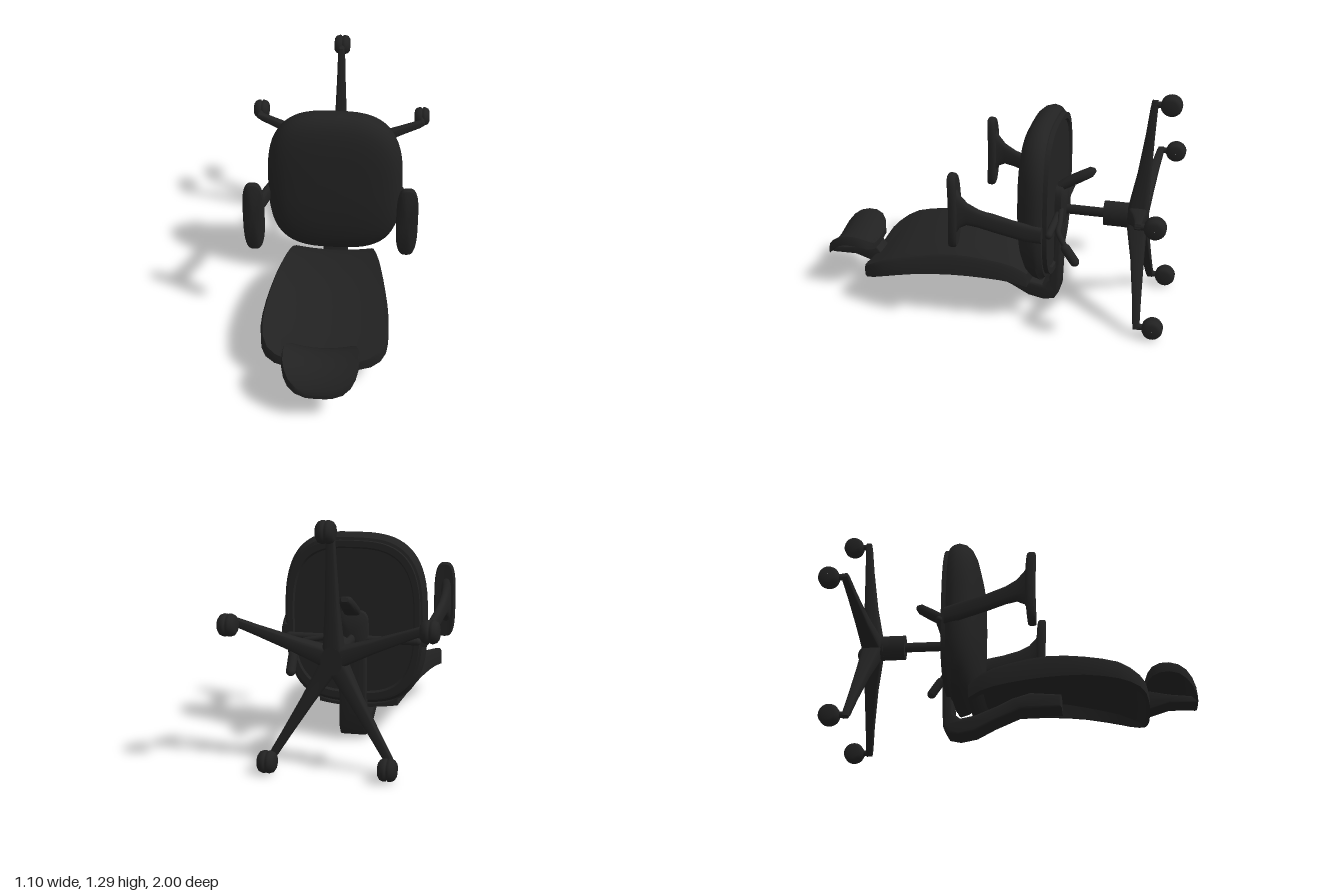
import * as THREE from 'three';
import { toCreasedNormals } from 'three/addons/utils/BufferGeometryUtils.js';

const V = (x, y, z) => new THREE.Vector3(x, y, z);
const black = new THREE.MeshStandardMaterial({ color: 0x222222 });
black.name = 'black';

// Closed skin over a list of equal-length rings, always facing outward
function loft(rings, crease = 0.7) {
  const n = rings[0].length, pos = [], idx = [];
  rings.forEach(r => r.forEach(p => pos.push(p.x, p.y, p.z)));
  for (let i = 0; i < rings.length - 1; i++) {
    for (let j = 0; j < n; j++) {
      const a = i * n + j, b = i * n + (j + 1) % n;
      idx.push(a, b, a + n, b, b + n, a + n);
    }
  }
  [0, rings.length - 1].forEach((k, end) => {
    const c = pos.length / 3, mid = V(0, 0, 0);
    rings[k].forEach(p => mid.addScaledVector(p, 1 / n));
    pos.push(mid.x, mid.y, mid.z);
    for (let j = 0; j < n; j++) {
      const a = k * n + j, b = k * n + (j + 1) % n;
      if (end) idx.push(a, b, c); else idx.push(b, a, c);
    }
  });
  const at = i => V(pos[3 * i], pos[3 * i + 1], pos[3 * i + 2]);
  let volume = 0;
  for (let i = 0; i < idx.length; i += 3) volume += at(idx[i]).dot(at(idx[i + 1]).cross(at(idx[i + 2])));
  if (volume < 0) idx.reverse();
  const g = new THREE.BufferGeometry();
  g.setAttribute('position', new THREE.Float32BufferAttribute(pos, 3));
  g.setIndex(idx);
  return toCreasedNormals(g, crease);
}

// Superellipse ring spanned by two half-axes
function ring(center, u, v, power = 2, n = 20) {
  const out = [];
  for (let i = 0; i < n; i++) {
    const a = (i / n) * Math.PI * 2, c = Math.cos(a), s = Math.sin(a);
    out.push(center.clone()
      .addScaledVector(u, Math.sign(c) * Math.abs(c) ** (2 / power))
      .addScaledVector(v, Math.sign(s) * Math.abs(s) ** (2 / power)));
  }
  return out;
}

// Side profile given as [z, y], extruded across x
function extrudeX(points, width, bevel) {
  const g = new THREE.ExtrudeGeometry(new THREE.Shape(points.map(p => new THREE.Vector2(...p))), {
    depth: width - 2 * bevel, bevelThickness: bevel, bevelSize: bevel, bevelOffset: -bevel, bevelSegments: 3,
  });
  g.translate(0, 0, bevel - width / 2).rotateY(-Math.PI / 2);
  return toCreasedNormals(g, 0.7);
}

// Curved panel from stations [z, halfWidth, top, bottom]; sides lift up, underside may be hollow
function panel(stations, lift, hollow) {
  const us = [-1, -0.97, -0.9, -0.84, -0.8, -0.6, -0.3, 0, 0.3, 0.6, 0.8, 0.84, 0.9, 0.97, 1];
  return loft(stations.map(([z, w, top, bot], i) => {
    const open = hollow && i > 1 && i < stations.length - 3;
    const rise = u => lift * (u * w) ** 2;
    const upper = us.map(u => V(u * w, top + rise(u) - (Math.abs(u) === 1 ? 0.02 : 0), z));
    const lower = us.map(u => V(u * w, (open && Math.abs(u) < 0.83 ? top - 0.045 : bot) + rise(u), z));
    return upper.concat(lower.reverse());
  }));
}

export function createModel() {
  const model = new THREE.Group();
  const add = (name, geometry) => {
    const m = new THREE.Mesh(geometry, black);
    m.name = name;
    model.add(m);
    return m;
  };

  // Seat cushion with its under-plate: [scale, z]
  const seat = [[0.25, -0.167], [0.5, -0.17], [0.7, -0.177], [0.83, -0.19], [0.92, -0.21], [0.975, -0.24],
    [1, -0.28], [0.985, -0.31], [0.95, -0.33], [0.92, -0.332], [0.92, -0.357], [0.85, -0.357], [0.83, -0.345]];
  const seatRings = seat.map(([s, z]) => ring(V(0, 0.67, z), V(0.392 * s, 0, 0), V(0, 0.47 * s, 0), 3, 64));
  seatRings.slice(0, 7).forEach(r => r.forEach(p => {
    const t = (0.67 - p.y) / 0.47;
    if (t > 0) p.z -= 0.035 * t * t;
  }));
  add('seat', loft(seatRings));

  // Backrest, hollow behind
  add('backrest', panel([
    [-0.22, 0.22, 0.23, 0.15], [-0.19, 0.23, 0.252, 0.162], [-0.15, 0.245, 0.275, 0.175], [-0.08, 0.26, 0.297, 0.188],
    [0, 0.275, 0.31, 0.195], [0.1, 0.29, 0.322, 0.2], [0.2, 0.305, 0.325, 0.2], [0.3, 0.32, 0.315, 0.195],
    [0.4, 0.335, 0.295, 0.185], [0.5, 0.345, 0.272, 0.167], [0.58, 0.347, 0.25, 0.15], [0.64, 0.338, 0.222, 0.135],
    [0.69, 0.31, 0.195, 0.125], [0.72, 0.26, 0.182, 0.12], [0.735, 0.18, 0.172, 0.12], [0.742, 0.1, 0.162, 0.125],
  ], 0.43, true));

  // Arched headrest and its carrier
  add('headrest', panel([
    [0.718, 0.11, 0.262, 0.225], [0.735, 0.16, 0.282, 0.23], [0.76, 0.187, 0.297, 0.24], [0.8, 0.2, 0.307, 0.248],
    [0.85, 0.203, 0.307, 0.25], [0.9, 0.2, 0.295, 0.24], [0.94, 0.188, 0.272, 0.217], [0.97, 0.165, 0.242, 0.192],
    [0.99, 0.125, 0.213, 0.172], [1, 0.07, 0.19, 0.166],
  ], 1, false));
  add('headrestCarrier', extrudeX([[0.995, 0.165], [0.985, 0.2], [0.85, 0.215], [0.73, 0.24], [0.69, 0.19],
    [0.73, 0.13], [0.85, 0.168]], 0.13, 0.006));

  // Bent bracket from under the seat to behind the backrest
  add('backBracket', extrudeX([[0.27, 0.16], [0.05, 0.155], [-0.1, 0.09], [-0.2, 0.037], [-0.29, 0.02],
    [-0.35, 0.033], [-0.375, 0.075], [-0.383, 0.3], [-0.39, 0.62], [-0.335, 0.62], [-0.33, 0.3], [-0.32, 0.145],
    [-0.28, 0.115], [-0.2, 0.13], [-0.08, 0.18], [0, 0.22], [0.1, 0.25], [0.27, 0.235]], 0.15, 0.014));

  // Tilt mechanism
  add('tiltMechanism', loft([[-0.34, 1], [-0.38, 1], [-0.4, 0.7]].map(([z, s]) =>
    ring(V(0, 0.61, z), V(0.085 * s, 0, 0), V(0, 0.12 * s, 0), 4))));
  add('armCrossbar', new THREE.CapsuleGeometry(0.02, 0.7, 6, 16).rotateZ(Math.PI / 2)).position.set(0, 0.575, -0.366);

  // Height paddle and tilt lever
  add('heightPaddle', loft([[0.7, -0.34, 0.045, 0.02], [0.74, -0.4, 0.045, 0.026], [0.78, -0.47, 0.04, 0.027],
    [0.815, -0.53, 0.035, 0.025], [0.825, -0.55, 0.02, 0.012]].map(([y, z, w, h]) =>
    ring(V(0, y, z), V(w, 0, 0), V(0, h * 0.9, h * 0.45), 3))));
  const lever = new THREE.CatmullRomCurve3([V(0.03, 0.61, -0.375), V(0.18, 0.575, -0.395), V(0.27, 0.555, -0.405),
    V(0.3, 0.51, -0.44), V(0.31, 0.43, -0.495)]);
  add('tiltLever', new THREE.TubeGeometry(lever, 30, 0.015, 12));
  const grip = add('leverGrip', new THREE.CapsuleGeometry(0.026, 0.09, 6, 16));
  grip.position.set(0.307, 0.45, -0.478);
  grip.rotation.x = 0.6;

  // Armrests
  for (const s of [1, -1]) {
    const name = s > 0 ? 'left' : 'right';
    add(name + 'Arm', loft([[-0.335, 0.38, 0.585, 0.022, 0.045], [-0.25, 0.395, 0.6, 0.022, 0.05],
      [-0.1, 0.412, 0.637, 0.022, 0.048], [0, 0.424, 0.668, 0.022, 0.05], [0.06, 0.43, 0.69, 0.023, 0.062],
      [0.1, 0.434, 0.703, 0.026, 0.095], [0.125, 0.434, 0.705, 0.035, 0.14]].map(([z, x, y, w, h]) =>
      ring(V(s * x, y, z), V(w, 0, 0), V(0, h, 0), 3))));
    add(name + 'ArmPad', loft([[0.107, 0.85], [0.113, 0.96], [0.125, 1], [0.137, 1], [0.148, 0.95], [0.152, 0.85]]
      .map(([z, k]) => ring(V(s * 0.424, 0.702, z), V(0.06 * k, 0, 0), V(0, 0.213 * (0.7 + 0.3 * k), 0), 3.2, 40)
        .map(p => p.setZ(p.z + 0.25 * (p.y - 0.702) ** 2)))));
  }

  // Gas column and hub, oval in section
  const hubY = 0.577;
  const column = (name, rx, ry, z0, z1) => {
    const m = add(name, new THREE.CylinderGeometry(1, 1, z1 - z0, 32).rotateX(Math.PI / 2));
    m.scale.set(rx, ry, 1);
    m.position.set(0, hubY, (z0 + z1) / 2);
  };
  column('piston', 0.02, 0.028, -0.62, -0.36);
  column('columnSleeve', 0.051, 0.072, -0.74, -0.61);
  column('hub', 0.055, 0.072, -0.852, -0.73);

  // Five legs with casters
  const wheelProfile = [[0.001, -0.046], [0.035, -0.046], [0.05, -0.036], [0.057, -0.018], [0.057, -0.006],
    [0.05, -0.004], [0.05, 0.004], [0.057, 0.006], [0.057, 0.018], [0.05, 0.036], [0.035, 0.046], [0.001, 0.046]];
  const wheelShape = new THREE.LatheGeometry(wheelProfile.map(p => new THREE.Vector2(...p)), 28).rotateZ(Math.PI / 2);
  const stemShape = new THREE.CylinderGeometry(0.017, 0.017, 0.08, 16).rotateX(Math.PI / 2);
  for (const [x, y] of [[0, 1.237], [-0.505, 0.775], [0.5, 0.76], [-0.302, 0.067], [0.312, 0.064]]) {
    const dir = V(x, y - hubY, 0), side = V(hubY - y, x, 0).normalize();
    add('leg', loft([[0, 0.055, -0.733, -0.852], [0.15, 0.046, -0.75, -0.852], [0.4, 0.034, -0.783, -0.856],
      [0.75, 0.025, -0.816, -0.864], [0.97, 0.021, -0.832, -0.871], [1.03, 0.013, -0.838, -0.871]].map(([t, w, a, b]) =>
      ring(V(0, hubY, (a + b) / 2).addScaledVector(dir, t), side.clone().multiplyScalar(w), V(0, 0, (a - b) / 2), 5))));
    add('casterStem', stemShape).position.set(x, y, -0.88);
    add('casterWheel', wheelShape).position.set(x, y, -0.942);
  }
  return model;
}
